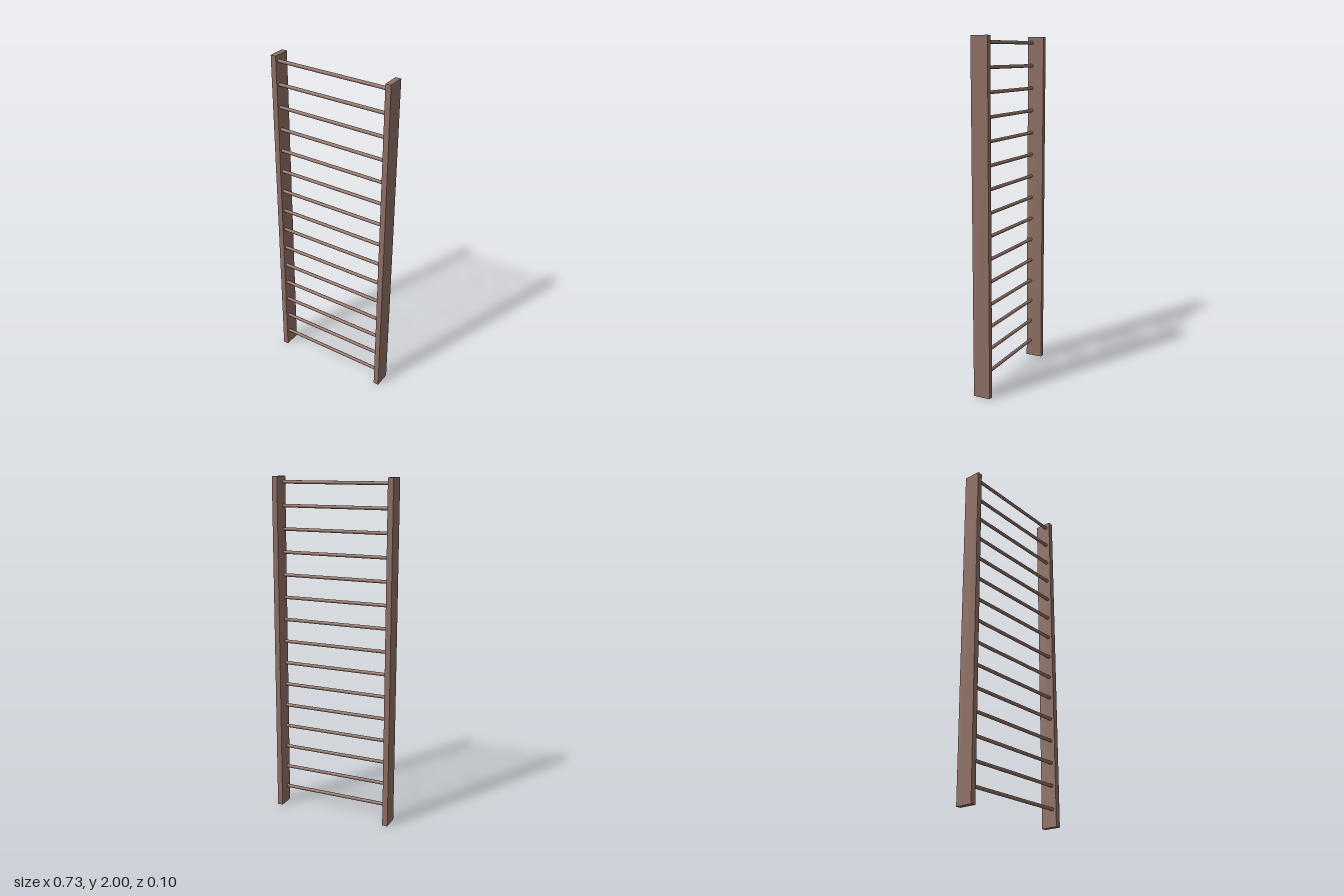
import * as THREE from 'three';

export function createModel() {
  const model = new THREE.Group();
  model.name = 'wallBars';
  const wood = new THREE.MeshStandardMaterial({ color: 0x8d6e63 });
  wood.name = 'brown wood';

  // Two upright side rails
  const railGeometry = new THREE.BoxGeometry(0.032, 2, 0.1);
  for (const side of [-1, 1]) {
    const rail = new THREE.Mesh(railGeometry, wood);
    rail.name = side > 0 ? 'leftRail' : 'rightRail';
    rail.position.set(side * 0.349, 1, 0);
    model.add(rail);
  }

  // Evenly spaced round rungs, set towards the front of the rails
  const rungCount = 15;
  const rungGeometry = new THREE.CylinderGeometry(0.01, 0.01, 0.67, 16).rotateZ(Math.PI / 2);
  for (let i = 0; i < rungCount; i++) {
    const rung = new THREE.Mesh(rungGeometry, wood);
    rung.name = `rung${i + 1}`;
    rung.position.set(0, 0.1 + (i * 2) / rungCount, 0.025);
    model.add(rung);
  }
  return model;
}
